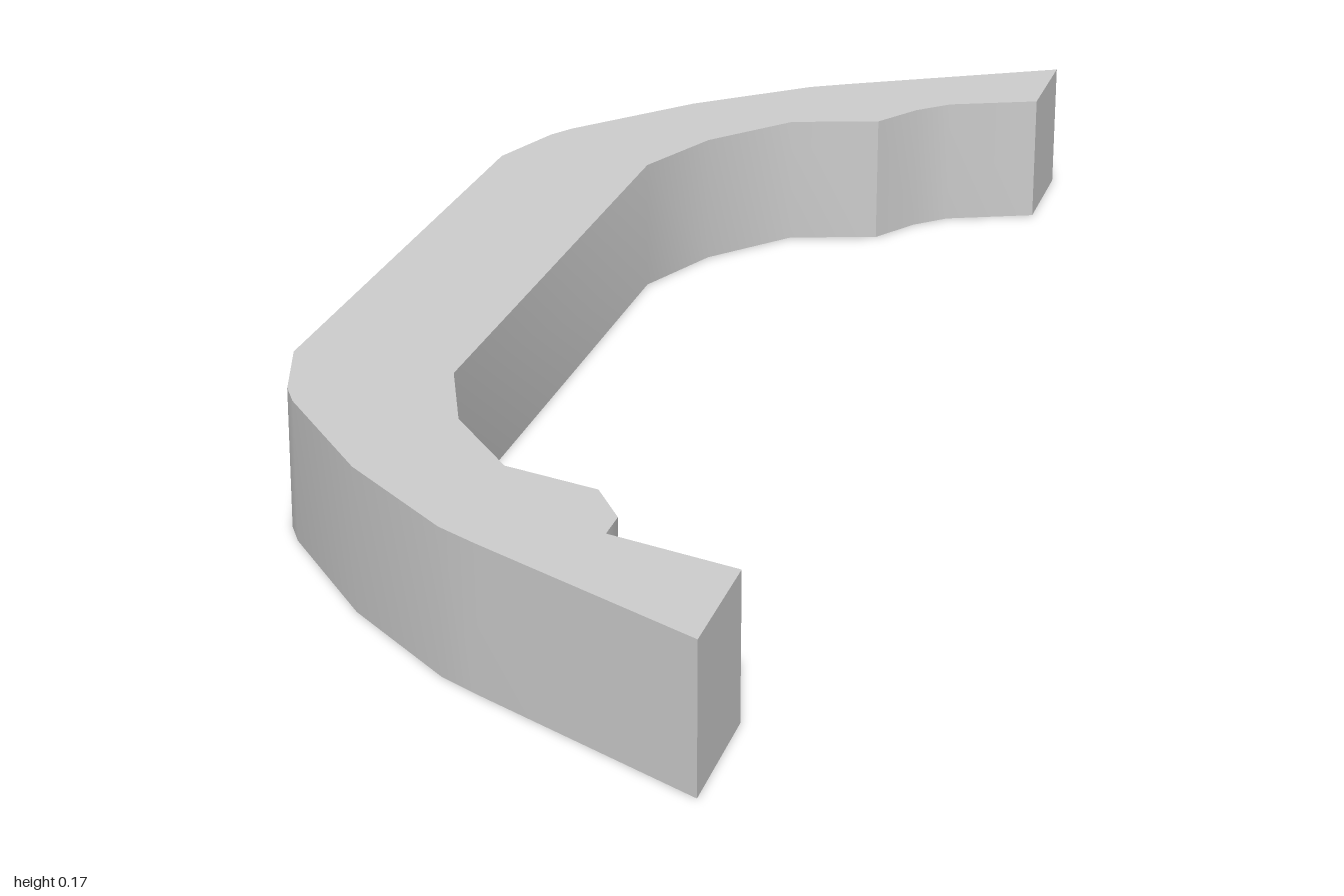
import * as THREE from 'three';
import { toCreasedNormals } from 'three/addons/utils/BufferGeometryUtils.js';

const HEIGHT = 0.17;

export function createModel() {
  const group = new THREE.Group();
  group.name = 'bracket';

  // Outer edge of one arm, from tip to the straight back, as [x, |z|]
  const outer = [[0.325, 1], [0.05, 0.845], [0, 0.815], [-0.14, 0.69],
    [-0.27, 0.53], [-0.29, 0.495], [-0.325, 0.385]];
  // Inner edges, from the straight back out to each tip; the notches differ
  const inner = [[-0.125, 0.4], [-0.075, 0.53], [0.015, 0.643], [0.13, 0.678]];
  const rearNotch = [[0.17, 0.745], [0.21, 0.785], [0.325, 0.833]];
  const frontNotch = [[0.17, 0.742], [0.17, 0.785], [0.325, 0.833]];

  const side = (points, sign) => points.map(([x, z]) => new THREE.Vector2(x, sign * z));

  // Closed plan outline; shape +y becomes the rear (-z)
  const outline = [
    ...side(outer, 1),
    ...side([...outer].reverse(), -1),
    ...side([...inner, ...frontNotch].reverse(), -1),
    ...side([...inner, ...rearNotch], 1),
  ];

  // Upright bar with softly shaded bends and sharp rims
  const geometry = new THREE.ExtrudeGeometry(new THREE.Shape(outline), {
    depth: HEIGHT, bevelEnabled: false,
  });
  geometry.rotateX(-Math.PI / 2);
  const bar = new THREE.Mesh(
    toCreasedNormals(geometry, 0.7),
    new THREE.MeshStandardMaterial({ color: 0xcccccc })
  );
  bar.name = 'curvedBar';
  group.add(bar);
  return group;
}
